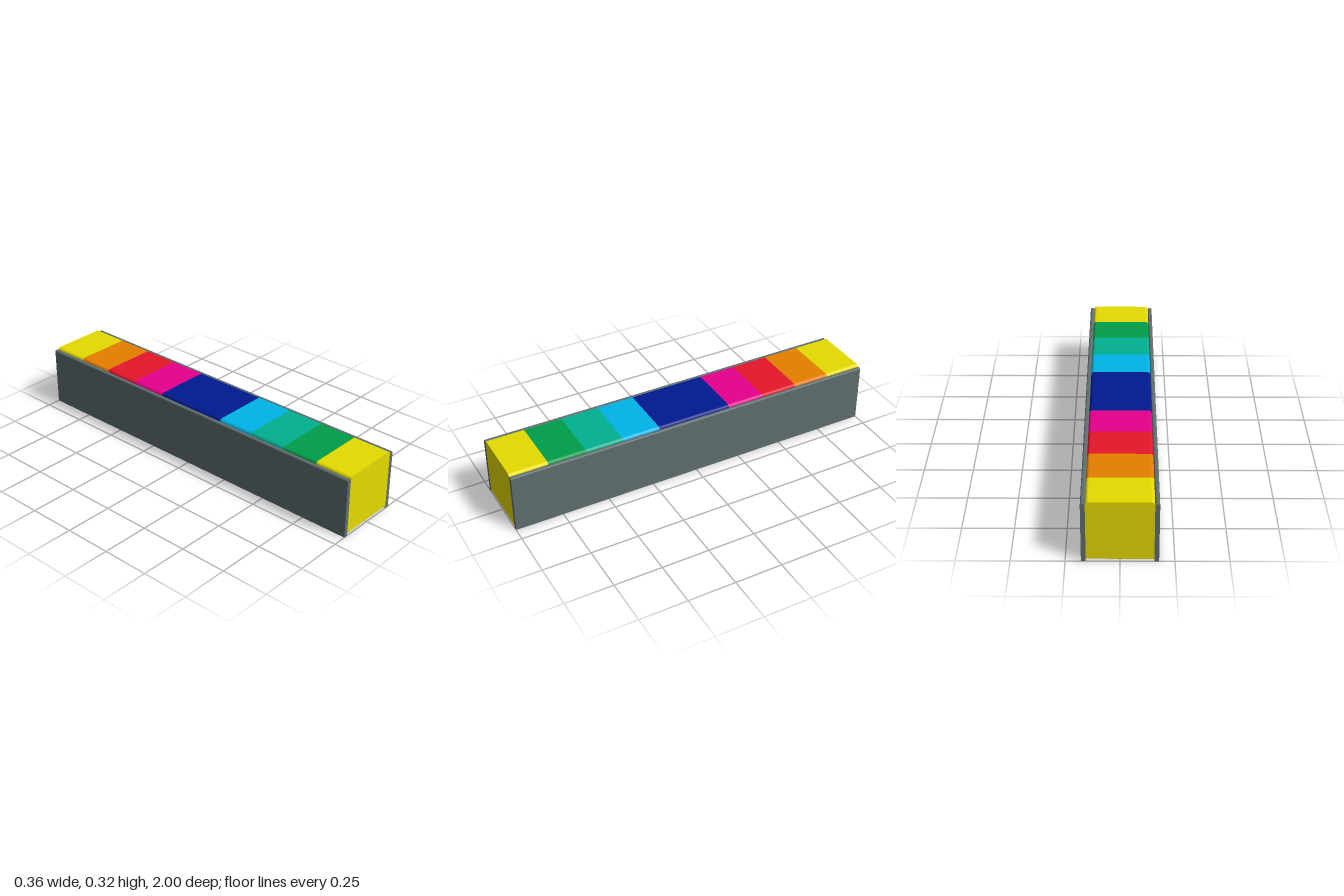
import * as THREE from 'three';

const material = (name, color) => {
  const m = new THREE.MeshStandardMaterial({ color });
  m.name = name;
  return m;
};

// Rectangle in x/y whose top corners are rounded, extruded along z
function roundedTopBar(x0, x1, y0, y1, r, z0, z1) {
  const s = new THREE.Shape();
  s.moveTo(x0, y0);
  s.lineTo(x1, y0);
  s.lineTo(x1, y1 - r);
  s.absarc(x1 - r, y1 - r, r, 0, Math.PI / 2, false);
  s.lineTo(x0 + r, y1);
  s.absarc(x0 + r, y1 - r, r, Math.PI / 2, Math.PI, false);
  s.closePath();
  const g = new THREE.ExtrudeGeometry(s, { depth: z1 - z0, bevelEnabled: false, curveSegments: 6 });
  return g.translate(0, 0, z0);
}

export function createModel() {
  const model = new THREE.Group();
  model.name = 'stripedBeam';
  const add = (name, geometry, mat) => {
    const mesh = new THREE.Mesh(geometry, mat);
    mesh.name = name;
    model.add(mesh);
  };

  const yellow = material('yellow', 0xe6db00);
  const magenta = material('magenta', 0xe6008c);
  const red = material('red', 0xe6162a);
  const orange = material('orange', 0xe67f00);
  const slate = material('slate grey', 0x606e6f);
  const pale = material('pale grey', 0xdadada);

  // Coloured blocks from front to back: name, material, length
  const blocks = [
    ['frontEndBlock', yellow, 0.2],
    ['greenBlock', material('green', 0x009e4a), 0.2],
    ['tealBlock', material('teal', 0x00b091), 0.2],
    ['skyBlueBlock', material('sky blue', 0x00b4e8), 0.2],
    ['navyBlock', material('navy', 0x001a90), 0.4],
    ['magentaBlock', magenta, 0.2],
    ['redBlock', red, 0.2],
    ['orangeBlock', orange, 0.2],
    ['backEndBlock', yellow, 0.2],
  ];
  let z = 1;
  for (const [name, mat, length] of blocks) {
    add(name, roundedTopBar(-0.156, 0.156, 0.014, 0.324, 0.016, z - length, z), mat);
    z -= length;
  }

  // Side boards, slightly lower than the core and reaching the ground
  for (const [name, x] of [['leftBoard', 0.156], ['rightBoard', -0.178]]) {
    add(name, roundedTopBar(x, x + 0.022, 0, 0.315, 0.008, -1, 1), slate);
  }

  // Underside sheet, facing down
  const sheet = new THREE.PlaneGeometry(0.312, 2).rotateX(Math.PI / 2).translate(0, 0.013, 0);
  add('undersideSheet', sheet, pale);

  // Painted marks on the inner lips of the boards, below the core: material, front z, back z
  const marks = [
    [pale, 1, 0.87], [red, 0.87, 0.8], [yellow, 0.78, 0.72], [red, 0.7, 0.64],
    [magenta, 0.53, 0.46], [yellow, 0.46, 0.38], [pale, 0.38, 0.27], [orange, 0.27, -0.06],
    [pale, -0.06, -0.5], [red, -0.5, -0.59], [pale, -0.59, -1],
  ];
  for (const [name, side] of [['leftLipMark', 1], ['rightLipMark', -1]]) {
    for (const [mat, front, back] of marks) {
      const plate = new THREE.BoxGeometry(0.001, 0.01, front - back);
      add(name, plate.translate(side * 0.1555, 0.007, (front + back) / 2), mat);
    }
  }

  return model;
}
